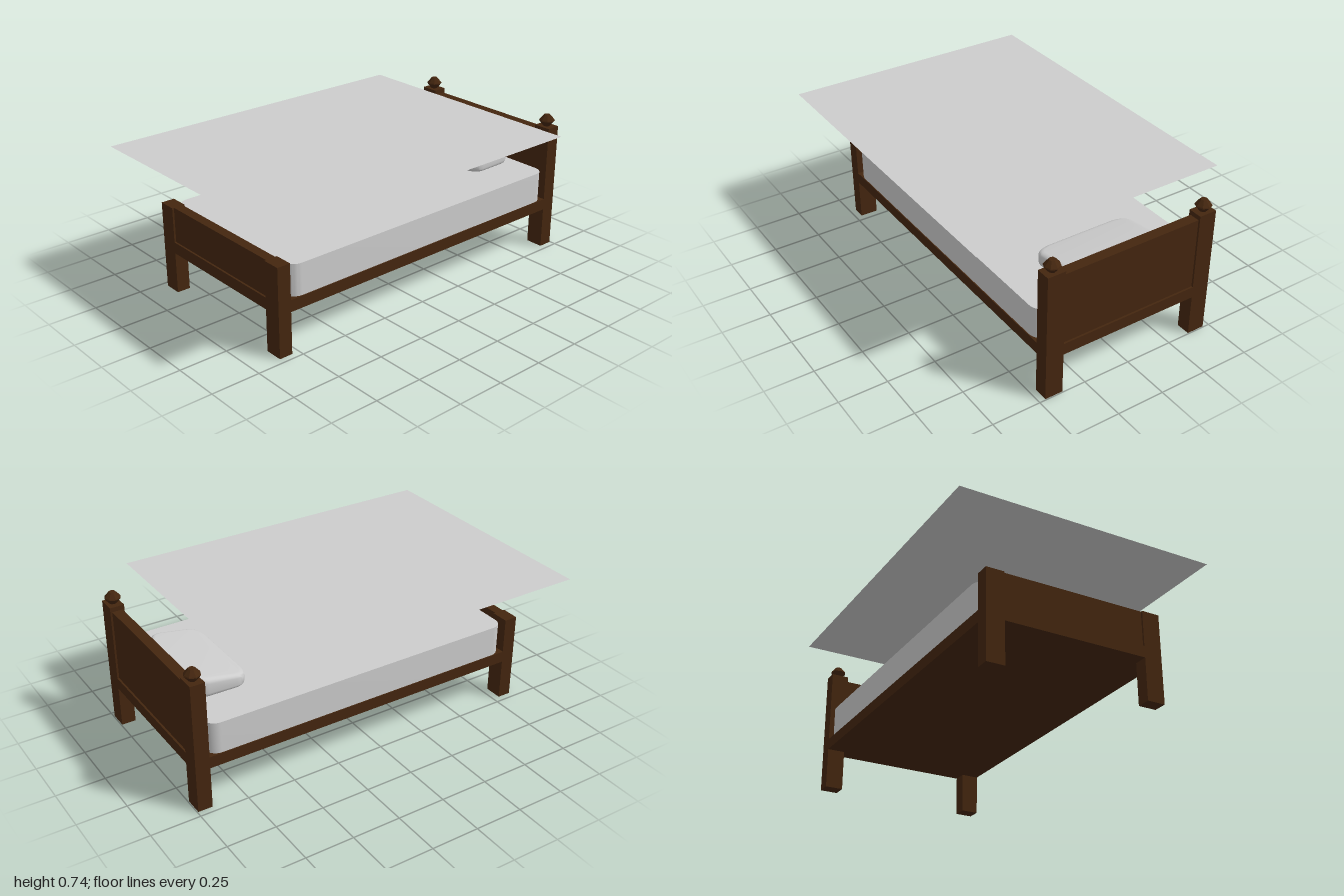
import * as THREE from 'three';
import { toCreasedNormals } from 'three/addons/utils/BufferGeometryUtils.js';

export function createModel() {
  const bed = new THREE.Group();
  bed.name = 'bed';
  const wood = new THREE.MeshStandardMaterial({ color: 0x44260f });
  wood.name = 'dark wood';
  const linen = new THREE.MeshStandardMaterial({ color: 0xcccccc, side: THREE.DoubleSide });
  linen.name = 'grey linen';

  function add(name, geometry, material) {
    const mesh = new THREE.Mesh(geometry, material);
    mesh.name = name;
    bed.add(mesh);
    return mesh;
  }

  // Box given by its extents on each axis
  function box(name, [x0, x1], [y0, y1], [z0, z1]) {
    const mesh = add(name, new THREE.BoxGeometry(x1 - x0, y1 - y0, z1 - z0), wood);
    mesh.position.set((x0 + x1) / 2, (y0 + y1) / 2, (z0 + z1) / 2);
  }

  const inner = 0.373, outer = 0.467;
  const railY = [0.217, 0.277];
  const head = [-0.995, -0.921], foot = [0.788, 0.858];

  // Posts and finials
  const finialProfile = [[0, 0], [0.018, 0], [0.041, 0.029], [0.039, 0.034], [0.016, 0.061], [0, 0.061]]
    .map(([r, y]) => new THREE.Vector2(r, y));
  for (const [side, s] of [['left', 1], ['right', -1]]) {
    const span = s > 0 ? [inner, outer] : [-outer, -inner];
    box(side + 'HeadPost', span, [0, 0.674], head);
    box(side + 'FootPost', span, [0, 0.461], foot);
    const finial = toCreasedNormals(new THREE.LatheGeometry(finialProfile, 8), 0.3);
    add(side + 'Finial', finial, wood).position.set(s * 0.42, 0.674, -0.958);
  }

  // End panels, set back slightly between the posts, with rails below
  const inset = 0.01;
  for (const [name, top, z] of [['head', 0.65, head], ['foot', 0.461, foot]]) {
    box(name + 'Board', [-inner, inner], [railY[1], top], [z[0] + inset, z[1] - inset]);
    box(name + 'Rail', [-inner, inner], railY, z);
  }

  // Solid base between the two ends
  box('bedBase', [-outer, outer], railY, [head[1], foot[0]]);

  // Mattress: rounded rectangle with sharp top and bottom edges
  const w = 0.462, front = -0.777, back = 0.913, r = 0.06;
  const outline = new THREE.Shape();
  outline.moveTo(-w + r, front);
  outline.absarc(w - r, front + r, r, -Math.PI / 2, 0);
  outline.absarc(w - r, back - r, r, 0, Math.PI / 2);
  outline.absarc(-w + r, back - r, r, Math.PI / 2, Math.PI);
  outline.absarc(-w + r, front + r, r, Math.PI, Math.PI * 1.5);
  const mattress = new THREE.ExtrudeGeometry(outline, { depth: 0.162, bevelEnabled: false, curveSegments: 6 });
  mattress.rotateX(-Math.PI / 2);
  add('mattress', toCreasedNormals(mattress, 0.6), linen).position.y = railY[1];

  // Pillow: soft-edged outline, thicker toward the headboard
  const plan = new THREE.Shape();
  plan.moveTo(-0.24, 0.66);
  plan.quadraticCurveTo(-0.24, 0.62, -0.18, 0.615);
  plan.lineTo(0.18, 0.615);
  plan.quadraticCurveTo(0.24, 0.62, 0.24, 0.66);
  plan.lineTo(0.24, 0.8);
  plan.bezierCurveTo(0.24, 0.86, 0.14, 0.872, 0, 0.875);
  plan.bezierCurveTo(-0.14, 0.872, -0.24, 0.86, -0.24, 0.8);
  const pillow = new THREE.ExtrudeGeometry(plan, {
    depth: 0.05, bevelThickness: 0.025, bevelSize: 0.025, bevelSegments: 4, curveSegments: 10,
  });
  pillow.rotateX(-Math.PI / 2);
  const p = pillow.attributes.position;
  for (let i = 0; i < p.count; i++) {
    const t = (p.getY(i) + 0.025) / 0.1;
    const k = (-p.getZ(i) - 0.59) / 0.31;
    p.setY(i, 0.442 + t * (0.062 + 0.054 * k));
  }
  add('pillow', toCreasedNormals(pillow, 0.8), linen);

  // Flat sheet held above the bed
  const sheet = new THREE.PlaneGeometry(1.35, 1.763);
  sheet.rotateX(-Math.PI / 2);
  add('sheet', sheet, linen).position.set(0, 0.729, 0.115);

  return bed;
}
